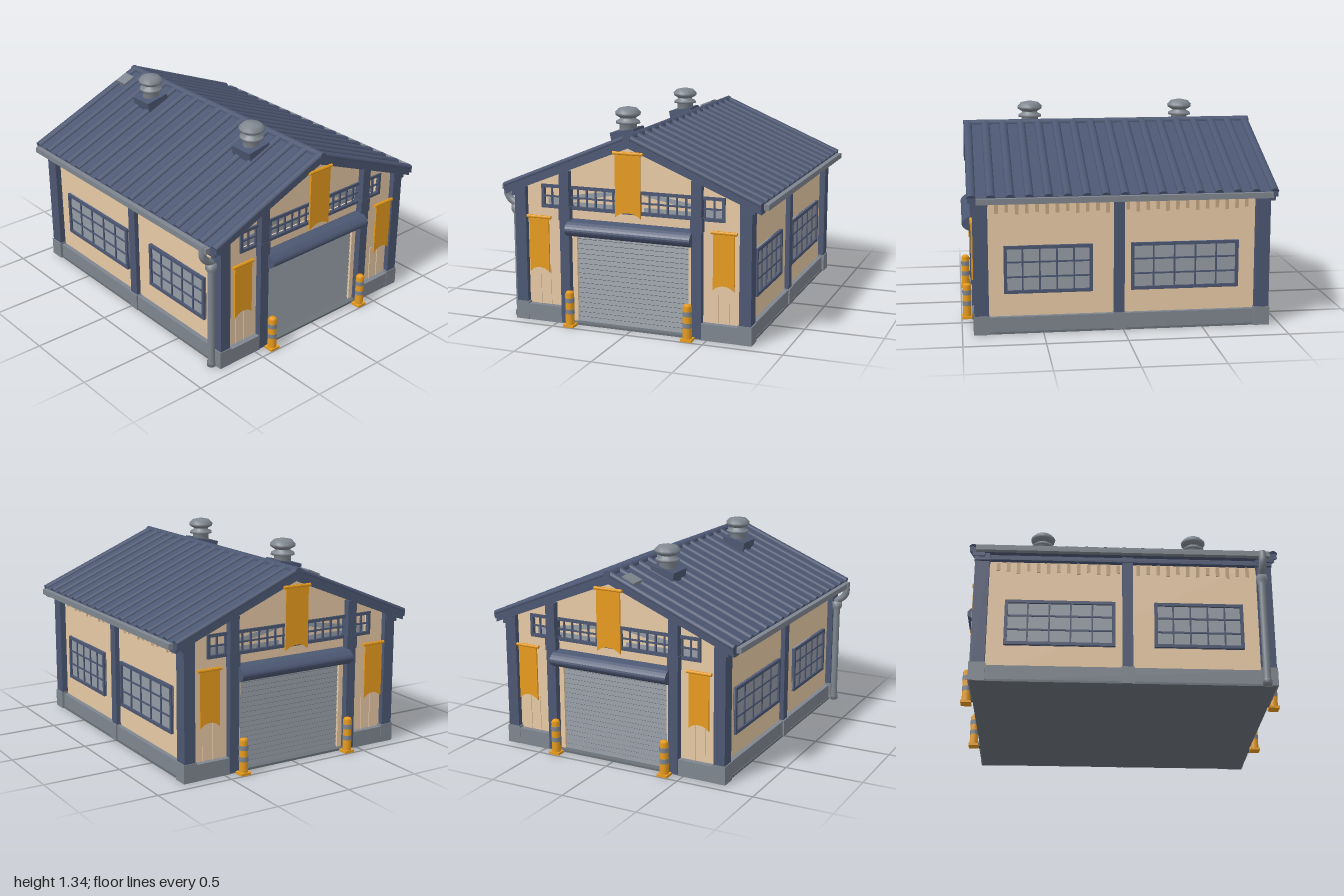
import * as THREE from 'three';

const mat = (name, color, side = THREE.FrontSide) => {
  const m = new THREE.MeshStandardMaterial({ color, side });
  m.name = name;
  return m;
};

export function createModel() {
  const navy = mat('navy metal', 0x4c5772);
  const cream = mat('cream wall', 0xf2d3ad);
  const tan = mat('weathered tan', 0xc2a581);
  const stone = mat('grey stone', 0x7f868f);
  const steel = mat('shutter steel', 0x868d95);
  const glass = mat('window glass', 0x959ca5);
  const orange = mat('orange', 0xe89c1e);
  const dark = mat('dark floor', 0x6a7178);

  const model = new THREE.Group();
  model.name = 'garage';
  const add = (parent, name, geo, material, x = 0, y = 0, z = 0) => {
    const m = new THREE.Mesh(geo, material);
    m.name = name;
    m.position.set(x, y, z);
    parent.add(m);
    return m;
  };
  const box = (parent, name, material, w, h, d, x, y, z) =>
    add(parent, name, new THREE.BoxGeometry(w, h, d), material, x, y, z);
  const poly = (pts) => new THREE.Shape(pts.map(([x, y]) => new THREE.Vector2(x, y)));
  const extrude = (shape, depth) =>
    new THREE.ExtrudeGeometry(shape, { depth, bevelEnabled: false, curveSegments: 8 });
  const lathe = (pts, n) =>
    new THREE.LatheGeometry(pts.map(([x, y]) => new THREE.Vector2(x, y)), n);

  // Floor slab and main body
  box(model, 'floor', dark, 1.55, 0.014, 1.84, 0, 0.006, 0);
  const gable = [[-0.74, 0.012], [0.74, 0.012], [0.74, 0.86], [0, 1.17], [-0.74, 0.86]];
  add(model, 'body', extrude(poly(gable), 1.7), cream, 0, 0, -0.85);

  // Roof: slab, thick gable edges, seams and ridge
  const W = 0.84, EAVE = 0.87, RIDGE = 1.22;
  const chevron = (t) => poly([[-W, EAVE], [-W, EAVE - t], [0, RIDGE - t * 1.15],
    [W, EAVE - t], [W, EAVE], [0, RIDGE]]);
  add(model, 'roof', extrude(chevron(0.035), 1.91), navy, 0, 0, -0.955);
  for (const s of [-1, 1])
    add(model, 'gableTrim', extrude(chevron(0.06), 0.075), navy, 0, 0, s * 0.9 - 0.0375);
  const slope = Math.atan2(RIDGE - EAVE, W), run = Math.hypot(W, RIDGE - EAVE);
  const seamGeo = new THREE.CylinderGeometry(0.018, 0.018, run, 10).scale(1, 1, 1.5);
  for (const s of [-1, 1]) {
    for (let i = 0; i <= 16; i++) {
      const seam = add(model, 'roofSeam', seamGeo, navy,
        s * W / 2, (EAVE + RIDGE) / 2, -0.932 + i * 0.1165);
      seam.rotation.z = s * (Math.PI / 2 - slope);
    }
  }
  const ridge = add(model, 'ridgeCap', new THREE.CylinderGeometry(0.026, 0.026, 1.92, 8), navy, 0, RIDGE - 0.008, 0);
  ridge.rotation.x = Math.PI / 2;

  // Roof vents and the small roof hatch
  for (const z of [-0.52, 0.51]) {
    const vent = new THREE.Group();
    vent.name = 'roofVent';
    vent.position.set(-0.18, 0, z);
    model.add(vent);
    const base = box(vent, 'ventBase', navy, 0.165, 0.1, 0.17, 0, 1.145, 0);
    base.rotation.z = slope * 0.5;
    add(vent, 'ventStem', lathe([[0.055, 1.16], [0.055, 1.23], [0.078, 1.235], [0.075, 1.25], [0.05, 1.262], [0.05, 1.29]], 16), stone);
    add(vent, 'ventCap', lathe([[0, 1.27], [0.05, 1.27], [0.08, 1.288], [0.083, 1.305], [0.06, 1.33], [0, 1.343]], 14), stone);
  }
  const hatch = box(model, 'roofHatch', stone, 0.09, 0.03, 0.1, -0.13, 1.18, -0.88);
  hatch.rotation.z = slope;

  // Gridded window centred on its own origin, facing +z
  const windowGrid = (parent, name, w, h, cols, rows, pane) => {
    const g = new THREE.Group();
    g.name = name;
    parent.add(g);
    if (pane) box(g, 'pane', pane, w, h, 0.008, 0, 0, 0.004);
    for (let i = 0; i <= cols; i++) {
      const t = i % cols ? 0.01 : 0.02;
      box(g, 'uprightBar', navy, t, h, t * 1.1, (i / cols - 0.5) * (w - 0.02), 0, 0.01);
    }
    for (let j = 0; j <= rows; j++) {
      const t = j % rows ? 0.01 : 0.02;
      box(g, 'crossBar', navy, w, t, t * 1.1, 0, (j / rows - 0.5) * (h - 0.02), 0.01);
    }
    return g;
  };

  // Swallow-tailed banner hanging from a rod, top at y = 0
  const banner = (parent, w, h, x, y, z) => {
    const g = new THREE.Group();
    g.name = 'banner';
    g.position.set(x, y, z);
    parent.add(g);
    const s = new THREE.Shape();
    s.moveTo(-w / 2, 0);
    s.lineTo(-w / 2, -h);
    s.quadraticCurveTo(-w * 0.3, -h + 0.03, 0, -h + 0.03);
    s.quadraticCurveTo(w * 0.3, -h + 0.03, w / 2, -h);
    s.lineTo(w / 2, 0);
    add(g, 'cloth', extrude(s, 0.01), orange);
    const rod = add(g, 'rod', new THREE.CylinderGeometry(0.011, 0.011, w + 0.03, 8), orange, 0, -0.01, 0.004);
    rod.rotation.z = Math.PI / 2;
  };

  // Striped bollard
  const bollard = (parent, x) => {
    const g = new THREE.Group();
    g.name = 'bollard';
    g.position.set(x, 0, 0.965);
    parent.add(g);
    box(g, 'bollardFoot', orange, 0.07, 0.016, 0.066, 0, 0.008, 0);
    add(g, 'bollardPost', lathe([[0.028, 0.01], [0.028, 0.215], [0.02, 0.228], [0, 0.23]], 12), orange);
    for (const y of [0.1, 0.172])
      add(g, 'bollardBand', new THREE.CylinderGeometry(0.0295, 0.0295, 0.03, 12), stone, 0, y, 0);
  };

  // Gable ends, the same at front and back
  const buildEnd = (name, turn) => {
    const end = new THREE.Group();
    end.name = name;
    end.rotation.y = turn;
    model.add(end);
    const face = poly([[-0.74, 0.015], [-0.37, 0.015], [-0.37, 0.58], [0.37, 0.58], [0.37, 0.015],
      [0.74, 0.015], [0.74, 0.86], [0, 1.17], [-0.74, 0.86]]);
    face.holes.push(new THREE.Path([[-0.6, 0.74], [-0.6, 0.88], [0.6, 0.88], [0.6, 0.74]]
      .map(([x, y]) => new THREE.Vector2(x, y))));
    add(end, 'gableWall', extrude(face, 0.04), cream, 0, 0, 0.85);

    // Roller shutter with a shallow saw-tooth section
    const teeth = [[0, 0.014]];
    for (let i = 0; i < 18; i++)
      teeth.push([0.028, 0.014 + i * 0.0315], [0.02, 0.014 + (i + 0.85) * 0.0315]);
    teeth.push([0, 0.581]);
    const shutter = add(end, 'shutter', extrude(poly(teeth), 0.74), steel, 0.37, 0, 0.851);
    shutter.rotation.y = -Math.PI / 2;

    // Rounded shutter housing
    const housing = new THREE.Shape();
    housing.moveTo(0, 0.57);
    housing.lineTo(0.06, 0.58);
    housing.quadraticCurveTo(0.14, 0.62, 0.06, 0.668);
    housing.lineTo(0, 0.68);
    const h = add(end, 'shutterHousing', extrude(housing, 0.82), navy, 0.41, 0, 0.888);
    h.rotation.y = -Math.PI / 2;

    // High window band with pale braces behind the bars
    windowGrid(end, 'highWindow', 1.21, 0.15, 20, 2).position.set(0, 0.81, 0.88);
    for (const s of [-1, 1]) {
      const brace = [[0.06 * s, 0.85], [0.58 * s, 0.75], [0.58 * s, 0.79], [0.06 * s, 0.875]];
      add(end, 'windowBrace', extrude(poly(s > 0 ? brace : brace.reverse()), 0.006), glass, 0, 0, 0.851);
      box(end, 'windowSill', glass, 0.5, 0.03, 0.006, s * 0.32, 0.76, 0.853);
      // Posts and plinths
      box(end, 'doorPost', navy, 0.064, 0.97, 0.065, s * 0.435, 0.495, 0.9);
      box(end, 'postCapital', navy, 0.076, 0.09, 0.07, s * 0.435, 0.715, 0.9);
      box(end, 'endPlinth', stone, 0.27, 0.105, 0.055, s * 0.595, 0.0525, 0.9);
      for (const x of [0.56, 0.63])
        box(end, 'wallBatten', cream, 0.014, 0.24, 0.006, s * x, 0.22, 0.892);
      banner(end, 0.135, 0.365, s * 0.61, 0.69, 0.926);
      bollard(end, s * 0.392);
    }
    banner(end, 0.165, 0.405, 0, 1.13, 0.9385);
  };
  buildEnd('frontEnd', 0);
  buildEnd('backEnd', Math.PI);

  // Long sides: posts, plinth, windows and eave stains
  for (const s of [-1, 1]) {
    const side = new THREE.Group();
    side.name = s > 0 ? 'leftSide' : 'rightSide';
    model.add(side);
    for (const z of [-0.88, 0.88]) {
      box(side, 'cornerPost', navy, 0.075, 0.86, 0.09, s * 0.743, 0.44, z);
      box(side, 'cornerBracket', navy, 0.085, 0.07, 0.095, s * 0.755, 0.84, z);
      box(side, 'cornerPlinth', stone, 0.09, 0.118, 0.1, s * 0.742, 0.059, z);
    }
    box(side, 'middlePost', navy, 0.05, 0.8, 0.065, s * 0.745, 0.46, 0.025);
    box(side, 'middlePlinth', stone, 0.06, 0.11, 0.08, s * 0.75, 0.055, 0.025);
    box(side, 'sidePlinth', stone, 0.04, 0.105, 1.7, s * 0.75, 0.0525, 0);
    box(side, 'wallPlate', navy, 0.04, 0.03, 1.8, s * 0.755, 0.835, 0);
    for (const [z, w] of [[0.465, 0.55], [-0.39, 0.68]]) {
      const win = windowGrid(side, 'sideWindow', w, 0.3, 5, 3, glass);
      win.position.set(s * 0.74, 0.4, z);
      win.rotation.y = s * Math.PI / 2;
    }
    for (let i = 0; i < 26; i++) {
      const z = -0.78 + i * 0.0624;
      if (Math.abs(z - 0.025) > 0.05)
        box(side, 'eaveStain', tan, 0.006, 0.055 + 0.014 * (i % 3), 0.022, s * 0.741, 0.785, z);
    }
    // Gutter
    box(side, 'gutter', stone, 0.032, 0.035, 1.82, s * 0.86, 0.85, -0.005);
  }

  // Downpipe on one front corner
  const V = (x, y) => new THREE.Vector3(x, y, 0.86);
  const elbow = new THREE.CatmullRomCurve3([V(-0.862, 0.87), V(-0.865, 0.80), V(-0.845, 0.765), V(-0.80, 0.73), V(-0.80, 0.68)]);
  add(model, 'downpipeElbow', new THREE.TubeGeometry(elbow, 16, 0.024, 10), stone);
  add(model, 'downpipe', lathe([[0, 0], [0.028, 0], [0.028, 0.03], [0.023, 0.035], [0.023, 0.67], [0.036, 0.69], [0.036, 0.73], [0, 0.735]], 12),
    stone, -0.8, 0, 0.86);
  return model;
}
